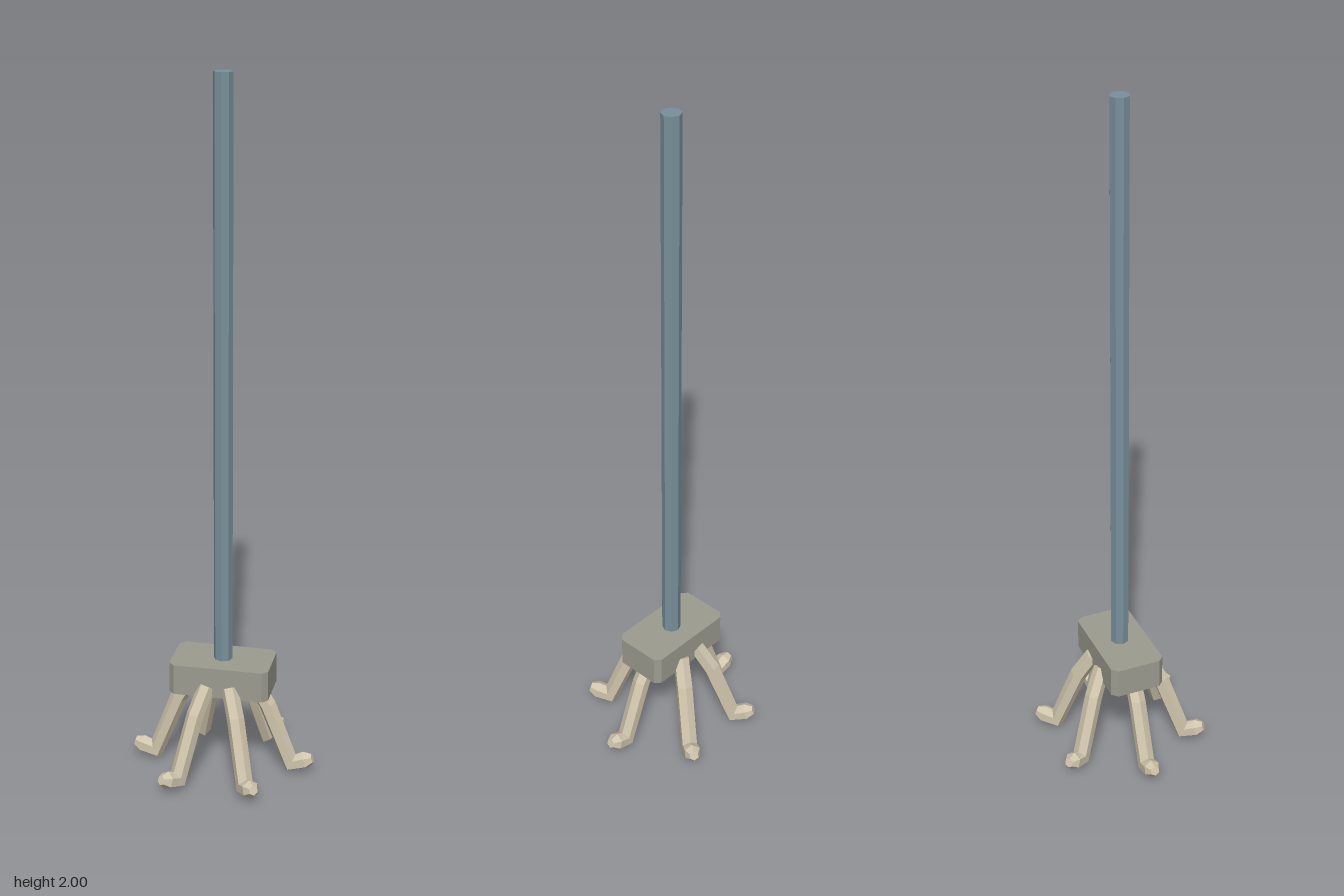
import * as THREE from 'three';

const mat = (name, color) => {
  const m = new THREE.MeshStandardMaterial({ color });
  m.name = name;
  m.flatShading = true;
  return m;
};

// Hexagonal tube with a varying radius, closed at both ends
function taperedTube(points, radii, sides = 6) {
  const up = new THREE.Vector3(0, 1, 0);
  const last = points.length - 1;
  const pos = [], index = [];
  points.forEach((p, i) => {
    const dirIn = p.clone().sub(points[Math.max(i - 1, 0)]).normalize();
    const dirOut = points[Math.min(i + 1, last)].clone().sub(p).normalize();
    const t = dirIn.clone().add(dirOut).normalize();
    const side = t.clone().cross(up).normalize();
    const normal = side.clone().cross(t);
    const bend = i > 0 && i < last ? Math.min(1.25, 1 / t.dot(dirOut)) : 1;
    for (let j = 0; j < sides; j++) {
      const a = (j / sides) * Math.PI * 2;
      const v = p.clone()
        .addScaledVector(normal, Math.cos(a) * radii[i] * bend)
        .addScaledVector(side, Math.sin(a) * radii[i]);
      pos.push(v.x, v.y, v.z);
    }
  });
  const startCap = pos.length / 3;
  pos.push(...points[0].toArray(), ...points[last].toArray());
  for (let j = 0; j < sides; j++) {
    const k = (j + 1) % sides;
    for (let i = 0; i < last; i++) {
      const a = i * sides + j, b = i * sides + k;
      index.push(a, b, a + sides, b, b + sides, a + sides);
    }
    index.push(startCap, k, j, startCap + 1, last * sides + j, last * sides + k);
  }
  const geo = new THREE.BufferGeometry();
  geo.setAttribute('position', new THREE.Float32BufferAttribute(pos, 3));
  geo.setIndex(index);
  const flat = geo.toNonIndexed();
  flat.computeVertexNormals();
  return flat;
}

export function createModel() {
  const group = new THREE.Group();
  const rodMat = mat('blue grey', 0x78909c);
  const blockMat = mat('stone grey', 0x9c9c90);
  const clawMat = mat('bone', 0xd0c5ad);
  const add = (name, geo, material) => {
    const mesh = new THREE.Mesh(geo, material);
    mesh.name = name;
    group.add(mesh);
    return mesh;
  };

  // Long octagonal pole
  add('pole', new THREE.CylinderGeometry(0.027, 0.027, 1.7, 8), rodMat).position.y = 1.15;

  // Block with chamfered vertical corners
  const w = 0.143, d = 0.08, c = 0.016;
  const outline = new THREE.Shape([
    [w, -d + c], [w, d - c], [w - c, d], [-w + c, d],
    [-w, d - c], [-w, -d + c], [-w + c, -d], [w - c, -d],
  ].map(([x, y]) => new THREE.Vector2(x, y)));
  const block = new THREE.ExtrudeGeometry(outline, { depth: 0.09, bevelEnabled: false });
  block.rotateX(-Math.PI / 2);
  add('headBlock', block, blockMat).position.y = 0.255;

  // Claw path as distance out from the pole, height and radius
  const profile = [
    [0.085, 0.285, 0.024], [0.13, 0.21, 0.025], [0.2, 0.031, 0.025],
    [0.242, 0.044, 0.026], [0.263, 0.051, 0.014],
  ];
  const radii = profile.map((p) => p[2]);
  const claw = (name, place) =>
    add(name, taperedTube(profile.map(([r, y]) => {
      const [x, z] = place(r);
      return new THREE.Vector3(x, y, z);
    }), radii), clawMat);

  for (const sx of [1, -1]) {
    const sideName = sx > 0 ? 'left' : 'right';
    claw(`${sideName}Claw`, (r) => [sx * r, 0]);
    for (const sz of [1, -1]) {
      claw(`${sideName}${sz > 0 ? 'Front' : 'Back'}Claw`,
        (r) => [sx * (0.556 * r - 0.014), sz * 0.82 * r]);
    }
  }
  return group;
}
